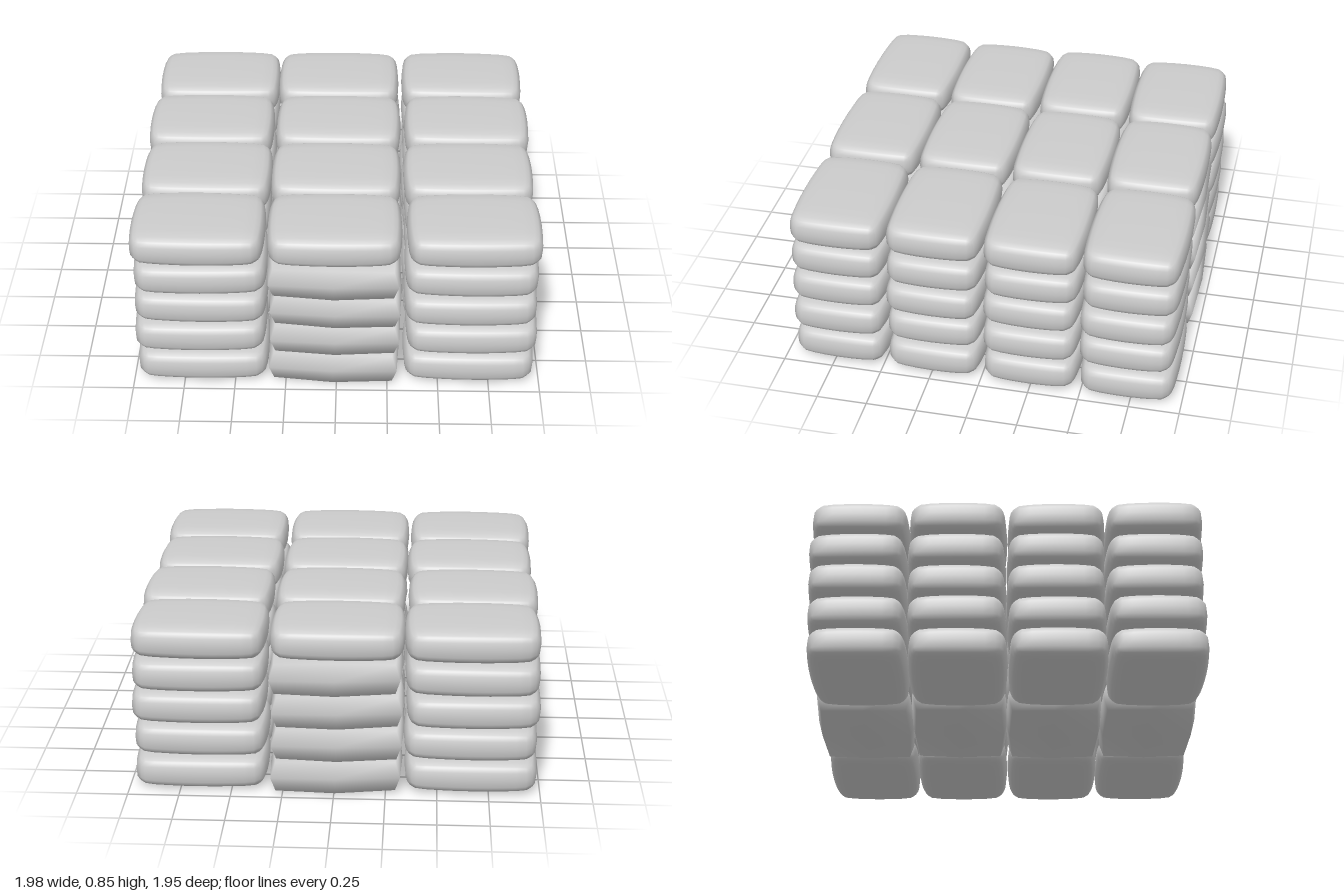
import * as THREE from 'three';
import { mergeVertices } from 'three/addons/utils/BufferGeometryUtils.js';

const W = 0.65, H = 0.172, D = 0.482;

// Unit box whose shared vertices are moved by a rule, with smooth normals
function shapedBox(nx, ny, nz, rule) {
  let geo = new THREE.BoxGeometry(2, 2, 2, nx, ny, nz);
  geo.deleteAttribute('normal');
  geo.deleteAttribute('uv');
  geo = mergeVertices(geo);
  const pos = geo.attributes.position;
  const p = new THREE.Vector3();
  for (let i = 0; i < pos.count; i++) {
    rule(p.fromBufferAttribute(pos, i));
    pos.setXYZ(i, p.x, p.y, p.z);
  }
  geo.computeVertexNormals();
  return geo;
}

// Filled sack: rounded rims, slightly domed faces and bowed sides
function softSack() {
  const r = 0.066;
  const spread = (t) => Math.sin(t * Math.PI / 2);
  const inner = new THREE.Vector3(), half = new THREE.Vector3(W / 2, H / 2, D / 2);
  return shapedBox(12, 6, 10, (p) => {
    const u = spread(p.x), v = spread(p.z);
    p.set(u, spread(p.y), v).multiply(half);
    inner.set(
      THREE.MathUtils.clamp(p.x, r - half.x, half.x - r),
      THREE.MathUtils.clamp(p.y, r - half.y, half.y - r),
      THREE.MathUtils.clamp(p.z, r - half.z, half.z - r));
    p.sub(inner).setLength(r).add(inner);
    p.x *= 1 - 0.045 * v * v;
    p.z *= 1 - 0.07 * u * u;
    p.y *= 1 - 0.08 * u * u - 0.08 * v * v;
  });
}

// Coarse sack: few faces, creased to a ridge around mid height
function coarseSack() {
  return shapedBox(2, 2, 2, (p) => {
    const { x, y, z } = p;
    const rim = Math.abs(y);
    p.x = x * W / 2 * (1 - 0.07 * rim - 0.035 * z * z);
    p.z = z * D / 2 * (1.03 - 0.09 * rim - 0.06 * x * x);
    p.y = y * H / 2 * (1.03 - 0.11 * x * x - 0.05 * z * z) - 0.006 * x;
  });
}

export function createModel() {
  const group = new THREE.Group();
  group.name = 'sackStack';
  const material = new THREE.MeshStandardMaterial({ color: 0xcccccc });
  const soft = softSack(), coarse = coarseSack();
  const columns = [-0.664, -0.01, 0.656];
  const rows = [-0.722, -0.242, 0.242, 0.722];

  // Five layers of sacks, the covered middle column being coarser
  for (let layer = 0; layer < 5; layer++) {
    columns.forEach((x, c) => rows.forEach((z, r) => {
      const isCoarse = c === 1 && layer < 4;
      const sack = new THREE.Mesh(isCoarse ? coarse : soft, material);
      sack.name = `sack_${layer + 1}_${c + 1}_${r + 1}`;
      const shift = Math.sin(layer * 2.1 + c * 1.7 + r * 2.9);
      sack.position.set(x + 0.006 * shift, 0.094 + layer * 0.169,
        z + 0.005 * Math.cos(layer * 1.3 + c * 2.3));
      sack.rotation.y = 0.012 * Math.sin(layer * 3.7 + c * 1.1 + r);
      group.add(sack);
    }));
  }
  return group;
}
